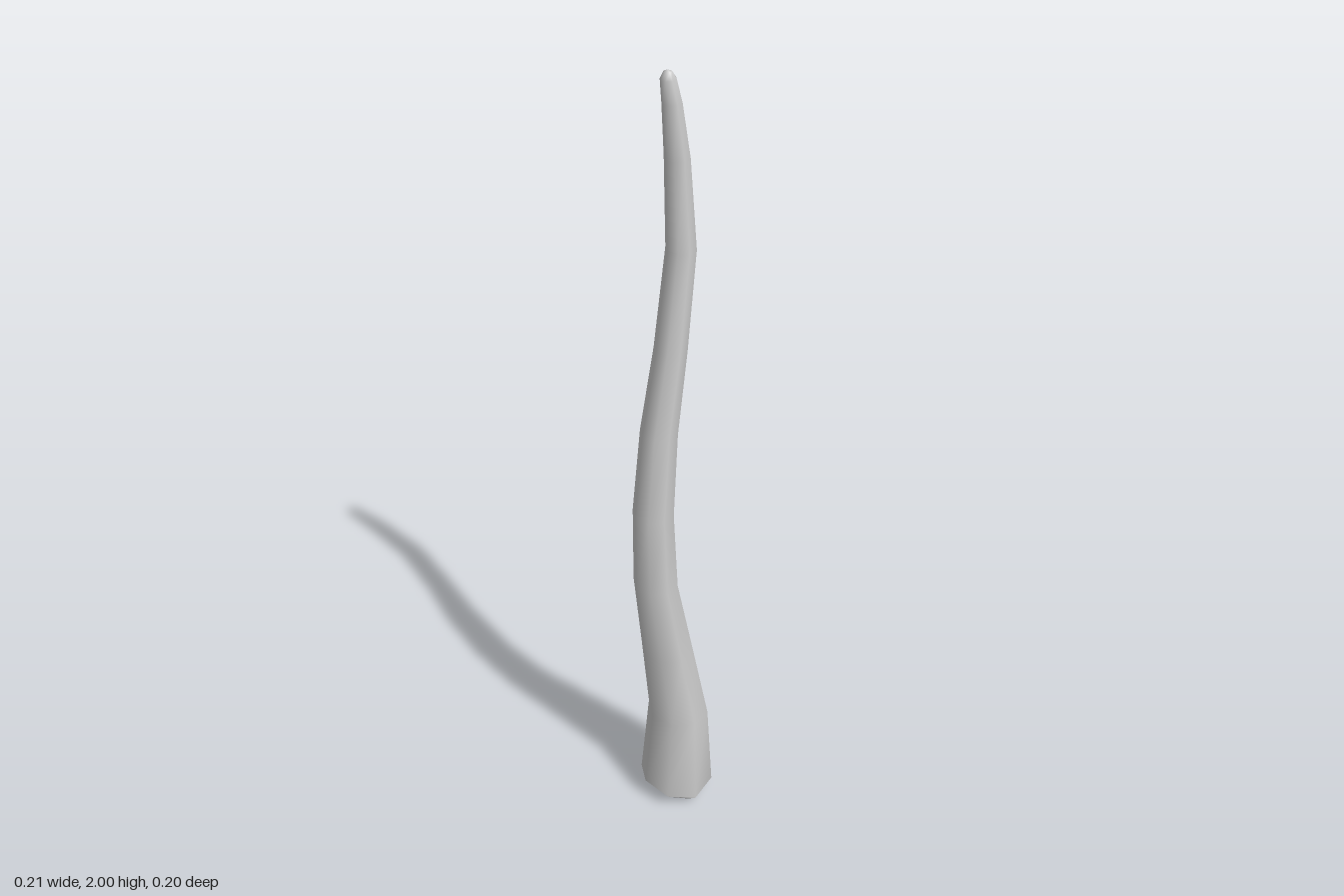
import * as THREE from 'three';

const SIDES = 8;

// Cross-sections: height, left edge x, right edge x, half depth, lift of the side corners
const SECTIONS = [
  [0.004, -0.052, 0.062, 0.07, 0.018],
  [0.03, -0.087, 0.105, 0.098, 0.03],
  [0.28, -0.062, 0.09, 0.083, 0],
  [0.5, -0.083, 0.047, 0.07, 0],
  [0.72, -0.105, 0.003, 0.058, 0],
  [0.93, -0.105, -0.007, 0.052, 0],
  [1.15, -0.083, 0.005, 0.046, 0],
  [1.36, -0.045, 0.03, 0.041, 0],
  [1.6, -0.015, 0.053, 0.036, 0],
  [1.81, -0.019, 0.037, 0.03, 0],
  [1.93, -0.026, 0.019, 0.022, 0],
  [1.98, -0.031, 0.007, 0.016, 0],
  [1.996, -0.023, -0.004, 0.009, 0],
];

// Skins the eight-sided sections and closes both ends with a centre point
function loftGeometry(sections) {
  const positions = [];
  const index = [];
  for (const [y, left, right, depth, lift] of sections) {
    for (let j = 0; j < SIDES; j++) {
      const a = (j / SIDES) * Math.PI * 2;
      const c = Math.cos(a);
      positions.push((left + right) / 2 + ((right - left) / 2) * c, y + lift * c * c, depth * Math.sin(a));
    }
  }
  const last = (sections.length - 1) * SIDES;
  const bottom = sections.length * SIDES;
  const top = bottom + 1;
  positions.push(0.005, 0, 0, -0.014, 2, 0);

  for (let j = 0; j < SIDES; j++) {
    const k = (j + 1) % SIDES;
    for (let r = 0; r < last; r += SIDES) {
      const up = r + SIDES;
      index.push(r + k, r + j, up + j, r + k, up + j, up + k);
    }
    index.push(bottom, j, k, top, last + k, last + j);
  }

  const geometry = new THREE.BufferGeometry();
  geometry.setAttribute('position', new THREE.Float32BufferAttribute(positions, 3));
  geometry.setIndex(index);
  geometry.computeVertexNormals();
  return geometry;
}

export function createModel() {
  const group = new THREE.Group();
  group.name = 'curvedStalk';

  // Tapering, S-curved stalk
  const stalk = new THREE.Mesh(loftGeometry(SECTIONS), new THREE.MeshStandardMaterial({ color: 0xcccccc }));
  stalk.name = 'stalk';
  group.add(stalk);

  return group;
}
